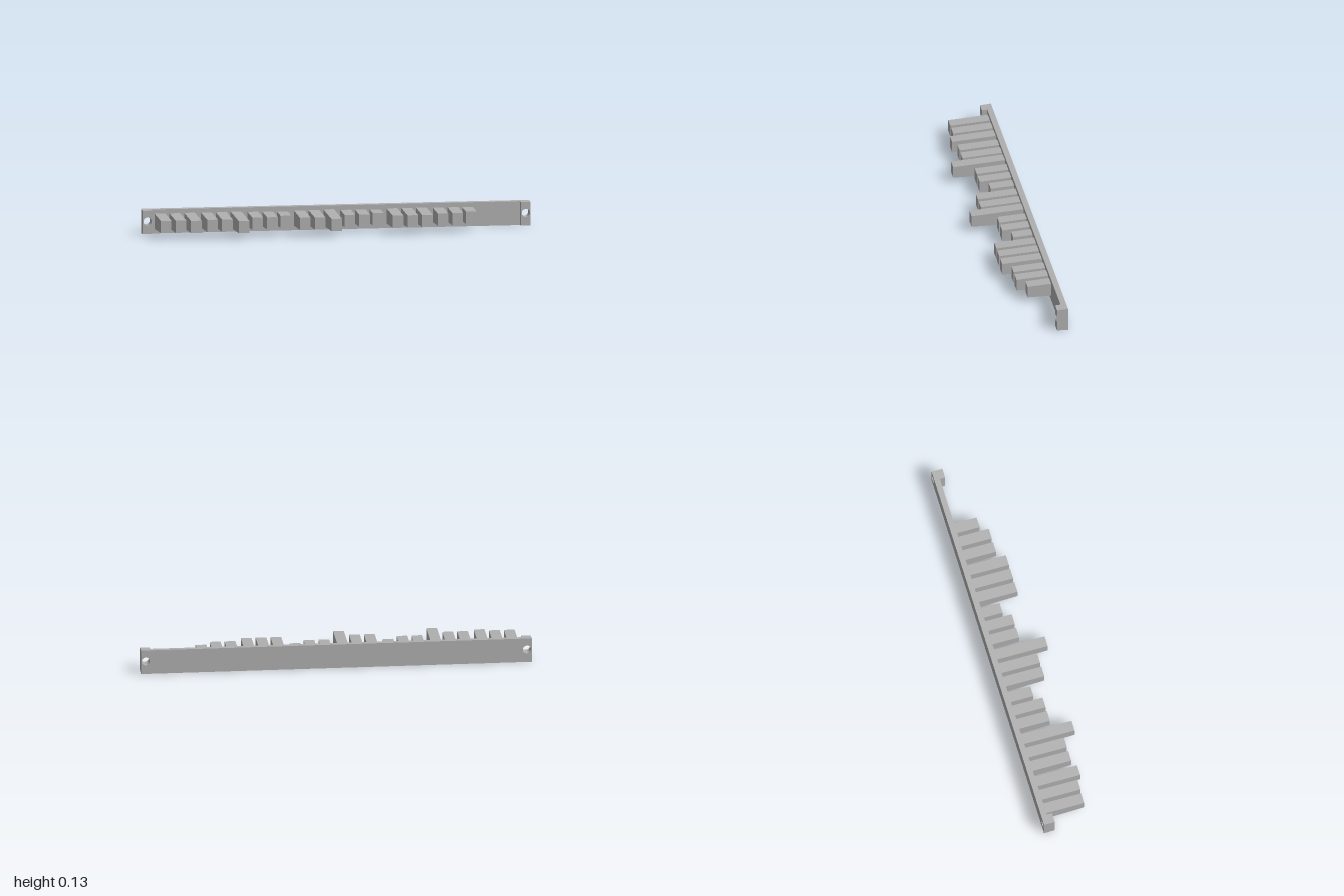
import * as THREE from 'three';
import { toCreasedNormals } from 'three/addons/utils/BufferGeometryUtils.js';

const MID_Y = 0.063;      // height of the centre line
const BACK_Z = -0.148;
const BAR_FRONT_Z = -0.119;
const FOOT_FRONT_Z = -0.091;
const HOLE_X = 0.975;

// Plate with round holes whose top and bottom lean in slightly towards the front
function plate(x0, x1, z0, z1, holeXs) {
  const halfAt = (z) => 0.063 - 0.003 * (z - BACK_Z) / (FOOT_FRONT_Z - BACK_Z);
  const shape = new THREE.Shape([[x0, -1], [x1, -1], [x1, 1], [x0, 1]]
    .map(([x, s]) => new THREE.Vector2(x, s * 0.063)));
  for (const hx of holeXs) {
    const hole = new THREE.Path();
    hole.absarc(hx, 0.004, 0.021, 0, Math.PI * 2, true);
    shape.holes.push(hole);
  }
  const geo = new THREE.ExtrudeGeometry(shape, { depth: z1 - z0, bevelEnabled: false, curveSegments: 20 });
  geo.translate(0, 0, z0);
  const p = geo.attributes.position;
  for (let i = 0; i < p.count; i++) {
    if (Math.abs(p.getY(i)) > 0.05) p.setY(i, Math.sign(p.getY(i)) * halfAt(p.getZ(i)));
  }
  geo.translate(0, MID_Y, 0);
  return toCreasedNormals(geo, 0.6);
}

// Tooth: fixed tip height, growing taller towards its root on the bar
function tooth(tipZ) {
  const length = tipZ - BAR_FRONT_Z;
  const tip = 0.0315, root = tip + 0.036 * length;
  const profile = new THREE.Shape([
    new THREE.Vector2(0, -root), new THREE.Vector2(length, -tip),
    new THREE.Vector2(length, tip), new THREE.Vector2(0, root),
  ]);
  const width = 0.055;
  const geo = new THREE.ExtrudeGeometry(profile, { depth: width, bevelEnabled: false });
  geo.translate(0, 0, -width / 2);
  geo.rotateY(-Math.PI / 2); // profile length now runs along +z
  geo.translate(0, MID_Y + 0.001, BAR_FRONT_Z);
  return geo;
}

export function createModel() {
  const model = new THREE.Group();
  model.name = 'toothedBar';
  const grey = new THREE.MeshStandardMaterial({ color: 0xb0b0b0 });
  grey.name = 'grey';
  const add = (name, geo) => {
    const mesh = new THREE.Mesh(geo, grey);
    mesh.name = name;
    model.add(mesh);
    return mesh;
  };

  // Long back bar with a screw hole at each end
  add('backBar', plate(-1, 1, BACK_Z, BAR_FRONT_Z, [-HOLE_X, HOLE_X]));

  // Raised mounting pads at the ends
  add('rightPad', plate(-1, -0.95, BAR_FRONT_Z, FOOT_FRONT_Z, [-HOLE_X]));
  add('leftPad', plate(0.95, 1, BAR_FRONT_Z, FOOT_FRONT_Z, [HOLE_X]));

  // Teeth in groups of three; each number is a length in steps
  const groups = [
    [5, 5, 6], [5, 5, 8], [3, 3, 1], [5, 5, 8], [2, 2, 0], [5, 5, 5], [3, 3, 1],
  ];
  groups.forEach((steps, g) => steps.forEach((s, i) => {
    const mesh = add(`tooth${g * 3 + i + 1}`, tooth(-0.018 + 0.021 * s));
    mesh.position.x = -0.907 + g * 0.239 + i * 0.076;
  }));

  return model;
}
